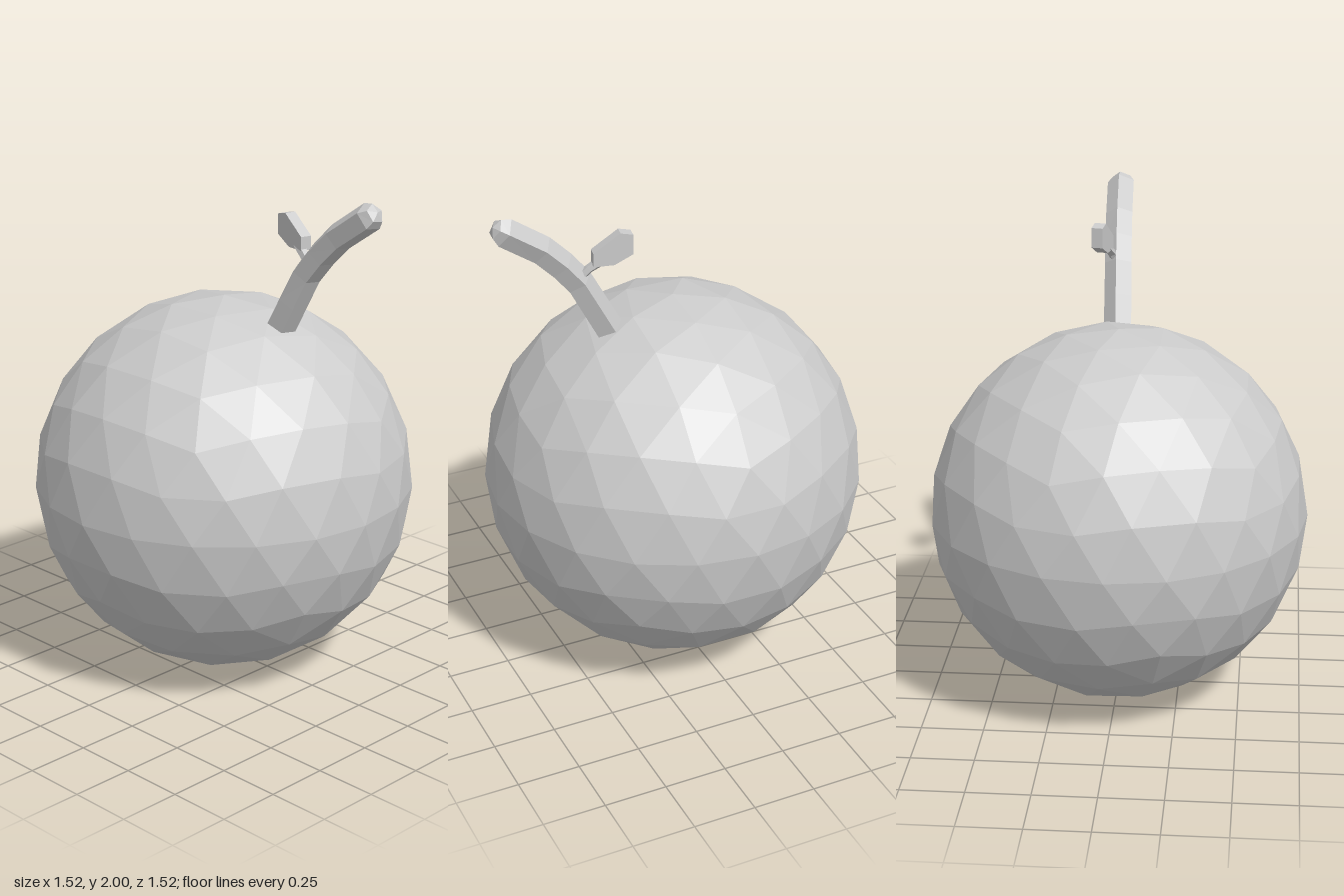
import * as THREE from 'three';

const material = new THREE.MeshStandardMaterial({ color: 0xcccccc, flatShading: true });

function part(name, geometry) {
  const mesh = new THREE.Mesh(geometry, material);
  mesh.name = name;
  return mesh;
}

// Faceted sphere: an icosahedron standing on a corner, split twice
function fruitGeometry(radius) {
  const half = new THREE.IcosahedronGeometry(1, 1);
  const corners = Array.from(half.attributes.position.array);
  const faces = corners.slice(0, corners.length / 3).map((_, i) => i);
  const geometry = new THREE.PolyhedronGeometry(corners, faces, radius, 1);
  geometry.rotateZ(-Math.atan(2 / (1 + Math.sqrt(5))));
  return geometry;
}

// Five-sided branch; sections are [x, y, z, radius], bending in the yz plane
function branchGeometry(sections, sides = 5, twist = -0.15) {
  const positions = [], index = [];
  const centres = sections.map(([x, y, z]) => new THREE.Vector3(x, y, z));
  sections.forEach(([x, y, z, r], i) => {
    const t = centres[Math.min(i + 1, centres.length - 1)].clone()
      .sub(centres[Math.max(i - 1, 0)]).setX(0).normalize();
    for (let k = 0; k < sides; k++) {
      const a = twist + (k / sides) * Math.PI * 2;
      const up = r * Math.cos(a);
      positions.push(x - r * Math.sin(a), y + up * t.z, z - up * t.y);
    }
  });
  for (let i = 0; i < sections.length - 1; i++) {
    for (let k = 0; k < sides; k++) {
      const a = i * sides + k, b = i * sides + (k + 1) % sides;
      index.push(a, b, b + sides, a, b + sides, a + sides);
    }
  }
  // closing fan at the buried end
  for (let k = 1; k < sides - 1; k++) index.push(0, k + 1, k);
  const geometry = new THREE.BufferGeometry();
  geometry.setAttribute('position', new THREE.Float32BufferAttribute(positions, 3));
  geometry.setIndex(index);
  const flat = geometry.toNonIndexed();
  flat.computeVertexNormals();
  return flat;
}

export function createModel() {
  const group = new THREE.Group();
  group.name = 'fruit';

  const body = part('body', fruitGeometry(0.762));
  body.position.y = 0.762;
  group.add(body);

  // Curved stem with a blunt, faceted tip
  group.add(part('stem', branchGeometry([
    [0.024, 1.43, 0.275, 0.06],
    [0.028, 1.56, 0.345, 0.059],
    [0.032, 1.68, 0.41, 0.058],
    [0.036, 1.765, 0.48, 0.058],
    [0.04, 1.845, 0.56, 0.058],
    [0.045, 1.945, 0.705, 0.058],
    [0.046, 1.963, 0.733, 0.04],
    [0.046, 1.97, 0.745, 0.0001],
  ])));

  // Thin twig carrying the leaf
  group.add(part('twig', branchGeometry([
    [0.035, 1.68, 0.425, 0.022],
    [0.06, 1.735, 0.375, 0.018],
    [0.08, 1.775, 0.32, 0.022],
  ])));

  // Thick six-cornered leaf slab
  const outline = [[-0.08, 1.756], [0, 1.756], [0.073, 1.793],
    [0.073, 1.873], [0.025, 1.883], [-0.08, 1.81]];
  const shape = new THREE.Shape(outline.map(([x, y]) => new THREE.Vector2(x, y)));
  const leafGeometry = new THREE.ExtrudeGeometry(shape, { depth: 0.046, bevelEnabled: false });
  leafGeometry.translate(0, 0, -0.023);
  const leaf = part('leaf', leafGeometry);
  leaf.rotation.y = 1.37;
  leaf.position.set(0.09, 0, 0.288);
  group.add(leaf);

  return group;
}
